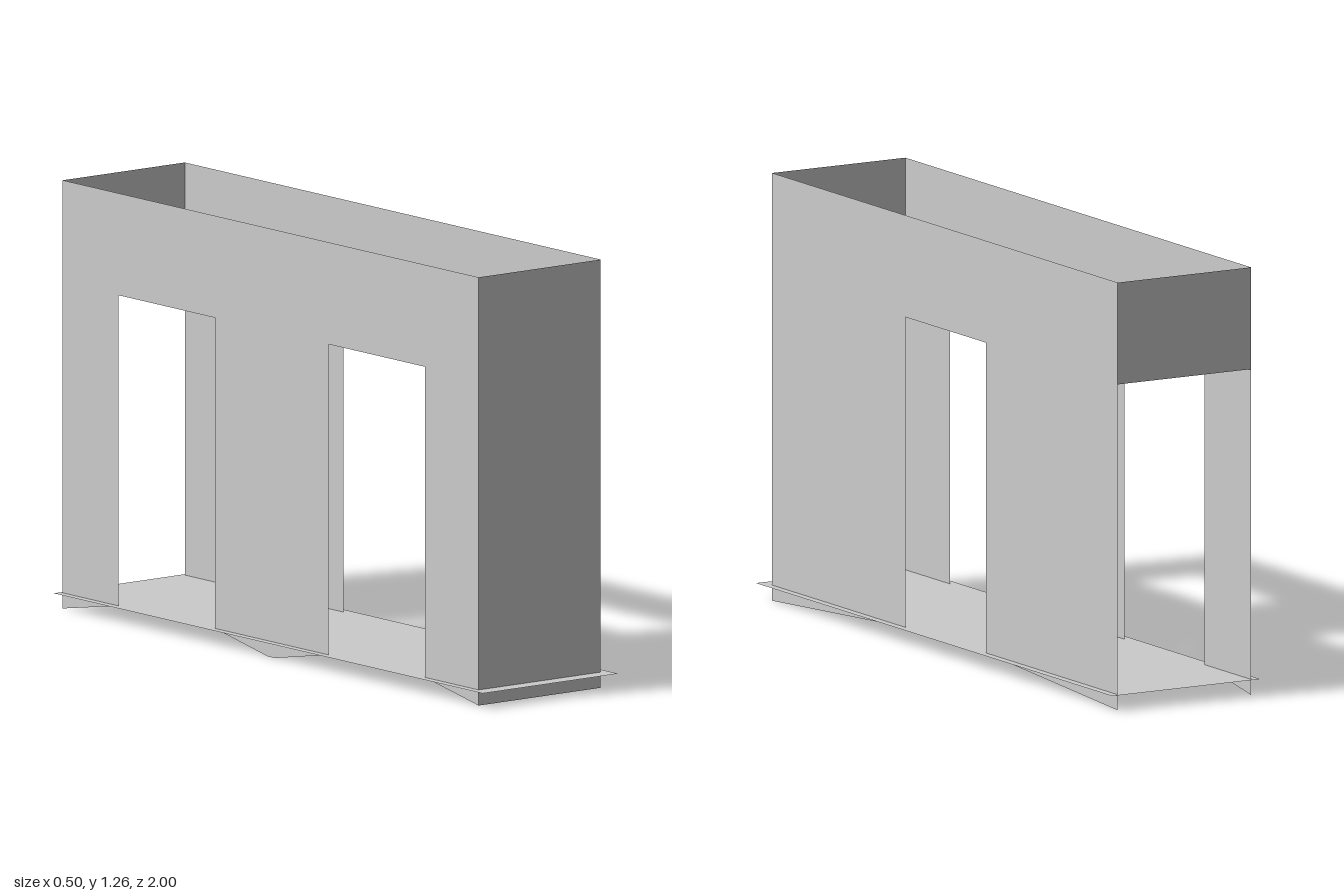
import * as THREE from 'three';

const HEIGHT = 1.26, DOOR_TOP = 0.96, SILL = 0.046;
const FRONT = 0.95, BACK = -0.99, HALF_WIDTH = 0.225;

export function createModel() {
  const group = new THREE.Group();
  const material = new THREE.MeshStandardMaterial({ color: 0xcccccc, side: THREE.DoubleSide, flatShading: true });

  const add = (name, geometry, x, y, z) => {
    const mesh = new THREE.Mesh(geometry, material);
    mesh.name = name;
    mesh.position.set(x, y, z);
    group.add(mesh);
  };

  // Side wall outline in (z, y); each doorway is a notch open at the bottom,
  // and the lower edge sags below the floor between doorways
  const sideWall = (name, x, doors, sag = []) => {
    const points = [[BACK, 0]];
    doors.forEach(([a, b], i) => {
      if (i > 0) points.push(...sag);
      points.push([a, SILL], [a, DOOR_TOP], [b, DOOR_TOP], [b, SILL]);
    });
    points.push([FRONT, 0], [FRONT, HEIGHT], [BACK, HEIGHT]);
    const shape = new THREE.Shape(points.map(([z, y]) => new THREE.Vector2(z, y)));
    add(name, new THREE.ShapeGeometry(shape).rotateY(-Math.PI / 2), x, 0, 0);
  };
  sideWall('leftWall', HALF_WIDTH, [[-0.25, 0.2]]);
  sideWall('rightWall', -HALF_WIDTH, [[-0.73, -0.28], [0.25, 0.7]], [[-0.035, 0], [0, 0]]);

  // Closed front end, and a lintel over the open back end
  add('frontWall', new THREE.PlaneGeometry(HALF_WIDTH * 2, HEIGHT), 0, HEIGHT / 2, FRONT);
  add('backLintel', new THREE.PlaneGeometry(HALF_WIDTH * 2, HEIGHT - DOOR_TOP), 0, (HEIGHT + DOOR_TOP) / 2, BACK);

  // Floor reaching slightly past the walls
  add('floor', new THREE.PlaneGeometry(0.5, 2).rotateX(-Math.PI / 2), 0, SILL, 0);

  return group;
}
